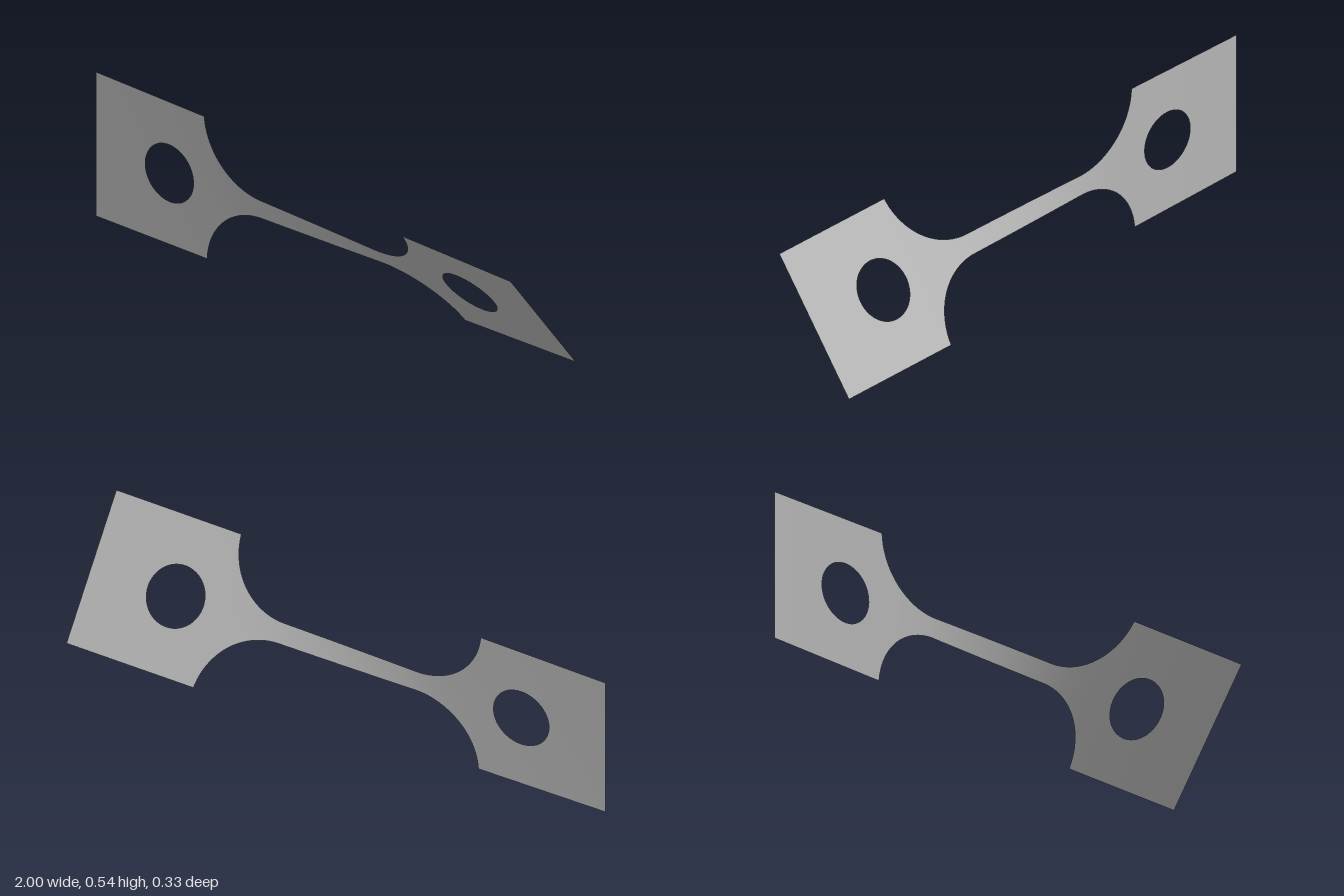
import * as THREE from 'three';

const HALF = 0.271;      // half height of the grips, also the twist axis height
const NECK = 0.036;      // half height of the gauge
const X_GRIP = 0.51;     // inner edge of the grips
const X_NECK = 0.26;     // end of the straight gauge
const FILLET = X_GRIP - X_NECK;
const HOLE_X = 0.672;
const HOLE_R = 0.108;
const TWIST = THREE.MathUtils.degToRad(37.7);

// Half height of the flat outline at x
function halfHeight(x) {
  const a = Math.abs(x);
  if (a >= X_GRIP) return HALF;
  if (a <= X_NECK) return NECK;
  const t = (a - X_NECK) / FILLET;
  return Math.min(HALF, NECK + FILLET * (1 - Math.sqrt(Math.max(0, 1 - t * t))));
}

// Running twist: narrow sections turn more than wide ones
const STEPS = 800;
const twistTable = [0];
for (let i = 0; i < STEPS; i++) {
  const x = -1 + (2 * (i + 0.5)) / STEPS;
  twistTable.push(twistTable[i] + Math.pow(2 * halfHeight(x), -1.3));
}
function twistAt(x) {
  const f = THREE.MathUtils.clamp(((x + 1) / 2) * STEPS, 0, STEPS);
  const i = Math.min(STEPS - 1, Math.floor(f));
  const v = THREE.MathUtils.lerp(twistTable[i], twistTable[i + 1], f - i);
  return (TWIST * v) / twistTable[STEPS];
}

// Sheet through rows of flat [x, y] points, turned about the long axis
function twistedSheet(rows, closed) {
  const n = rows[0].length;
  const positions = [];
  const index = [];
  for (const [x, y] of rows.flat()) {
    const a = twistAt(x);
    positions.push(x, HALF + y * Math.cos(a), y * Math.sin(a));
  }
  for (let r = 0; r < rows.length - 1; r++) {
    for (let i = 0; i < (closed ? n : n - 1); i++) {
      const j = (i + 1) % n;
      const a = r * n + i, b = r * n + j, c = a + n, d = b + n;
      index.push(a, c, b, b, c, d);
    }
  }
  const geometry = new THREE.BufferGeometry();
  geometry.setAttribute('position', new THREE.Float32BufferAttribute(positions, 3));
  geometry.setIndex(index);
  geometry.computeVertexNormals();
  return geometry;
}

// Plate with a round hole, as rings from the hole to the rectangular edge
function gripGeometry(side) {
  const corners = [[X_GRIP, -HALF], [1, -HALF], [1, HALF], [X_GRIP, HALF]];
  const edge = [];
  corners.forEach(([x0, y0], k) => {
    const [x1, y1] = corners[(k + 1) % 4];
    for (let i = 0; i < 16; i++) {
      edge.push([x0 + ((x1 - x0) * i) / 16, y0 + ((y1 - y0) * i) / 16]);
    }
  });
  const rows = [];
  for (let r = 0; r <= 6; r++) {
    const ring = edge.map(([x, y]) => {
      const dx = x - HOLE_X;
      const length = Math.hypot(dx, y);
      const s = THREE.MathUtils.lerp(HOLE_R / length, 1, r / 6);
      return [side * (HOLE_X + dx * s), y * s];
    });
    rows.push(side > 0 ? ring : ring.reverse());
  }
  return twistedSheet(rows, true);
}

// Straight gauge or fillet, as columns across the strip
function stripGeometry(xs) {
  return twistedSheet(xs.map((x) => {
    const h = halfHeight(x);
    return Array.from({ length: 17 }, (_, i) => [x, h * (i / 8 - 1)]);
  }), false);
}

export function createModel() {
  const group = new THREE.Group();
  group.name = 'twistedTestStrip';
  const metal = new THREE.MeshStandardMaterial({ color: 0xb3b3b3, side: THREE.DoubleSide });
  metal.name = 'plain grey';

  function add(name, geometry) {
    const mesh = new THREE.Mesh(geometry, metal);
    mesh.name = name;
    group.add(mesh);
  }

  // Gauge section
  add('gauge', stripGeometry(
    Array.from({ length: 49 }, (_, i) => X_NECK * (i / 24 - 1))));

  // Grips and the fillets that lead to them
  for (const [label, side] of [['left', 1], ['right', -1]]) {
    const xs = Array.from({ length: 33 }, (_, i) =>
      side * (X_NECK + FILLET * Math.sin((i / 32) * Math.PI / 2)));
    if (side < 0) xs.reverse();
    add(label + 'Fillet', stripGeometry(xs));
    add(label + 'Grip', gripGeometry(side));
  }
  return group;
}
